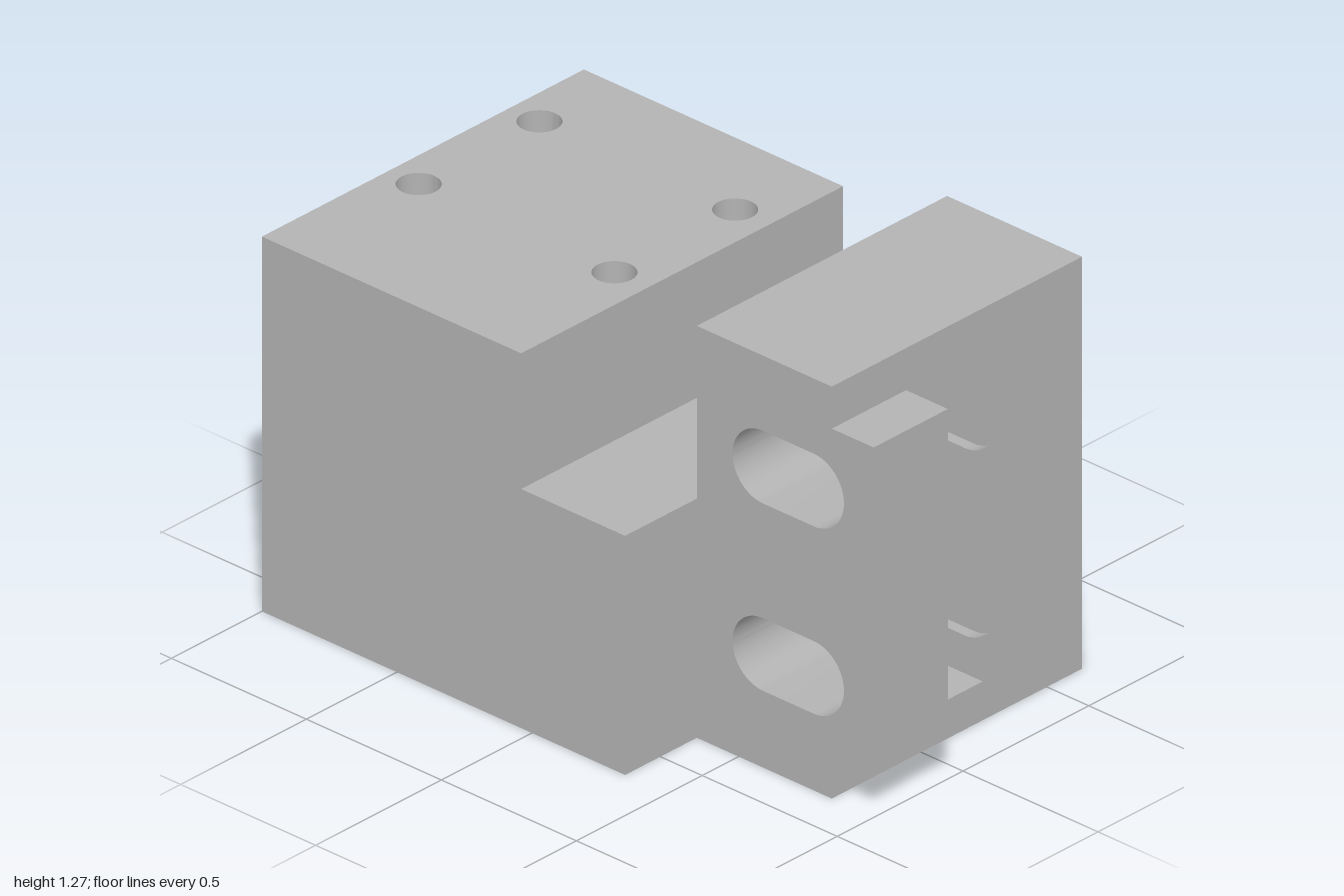
import * as THREE from 'three';
import { toCreasedNormals } from 'three/addons/utils/BufferGeometryUtils.js';

const R = 0.1125, Z_FRONT = 0.7775, Z_BACK = 0.59; // slot radius and end centres
const SLOT_Y = [0.93, 0.35];

export function createModel() {
  const group = new THREE.Group();
  const grey = new THREE.MeshStandardMaterial({ color: 0xb3b3b3 });
  grey.name = 'plain grey';

  const add = (name, geo) => {
    const mesh = new THREE.Mesh(geo, grey);
    mesh.name = name;
    group.add(mesh);
  };
  const box = (name, x0, x1, y0, y1, z0, z1) => {
    const geo = new THREE.BoxGeometry(x1 - x0, y1 - y0, z1 - z0);
    add(name, geo.translate((x0 + x1) / 2, (y0 + y1) / 2, (z0 + z1) / 2));
  };
  const extrude = (shape, depth) => toCreasedNormals(
    new THREE.ExtrudeGeometry(shape, { depth, bevelEnabled: false, curveSegments: 20 }), 0.6);
  // side profile drawn in (-z, y), extruded along x
  const alongX = (name, shape, x0, x1) =>
    add(name, extrude(shape, x1 - x0).rotateY(Math.PI / 2).translate(x0, 0, 0));
  const polygon = pts => new THREE.Shape(pts.map(([z, y]) => new THREE.Vector2(-z, y)));

  // main body: lower block, and rear block with four blind holes in its top
  box('lowerBody', -0.64, 0.64, 0, 0.74, -1, 0.345);
  const top = new THREE.Shape([[-0.64, 0.04], [0.64, 0.04], [0.64, 1], [-0.64, 1]]
    .map(([x, y]) => new THREE.Vector2(x, y)));
  for (const x of [-0.135, 0.345]) for (const z of [-0.89, -0.165]) {
    top.holes.push(new THREE.Path().absarc(x, -z, 0.0625, 0, Math.PI * 2, true));
  }
  add('rearBlock', extrude(top, 0.42).rotateX(-Math.PI / 2).translate(0, 0.74, 0));

  // slotted wall with the projecting flange
  const wall = polygon([[0.345, 0], [0.345, 1.275], [0.845, 1.275], [0.845, 1.145],
    [1, 1.145], [1, 0.13], [0.845, 0.13], [0.845, 0]]);
  for (const y of SLOT_Y) {
    const slot = new THREE.Path();
    slot.absarc(-Z_BACK, y, R, -Math.PI / 2, Math.PI / 2, false);
    slot.absarc(-Z_FRONT, y, R, Math.PI / 2, Math.PI * 1.5, false);
    slot.closePath();
    wall.holes.push(slot);
  }
  alongX('slottedFlange', wall, -0.355, -0.06);

  // bars above and below the open pocket
  box('pocketTopBar', -0.06, 0.245, 1.155, 1.275, 0.345, 0.845);
  box('pocketBottomBar', -0.06, 0.245, 0, 0.12, 0.345, 0.845);

  // shallow layer where the slots run into the far pocket wall and break the front face
  const a = Math.acos((0.845 - Z_FRONT) / R);
  const recess = new THREE.Shape();
  recess.moveTo(-0.345, 0);
  recess.lineTo(-0.345, 1.275);
  recess.lineTo(-0.845, 1.275);
  for (const y of SLOT_Y) {
    recess.absarc(-Z_FRONT, y, R, Math.PI - a, Math.PI / 2, true);
    recess.absarc(-Z_BACK, y, R, Math.PI / 2, -Math.PI / 2, true);
    recess.absarc(-Z_FRONT, y, R, Math.PI * 1.5, Math.PI + a, true);
  }
  recess.lineTo(-0.845, 0);
  recess.closePath();
  alongX('slotRecess', recess, 0.245, 0.28);

  // solid side of the front column
  box('columnSide', 0.28, 0.64, 0, 1.275, 0.345, 0.845);

  return group;
}
